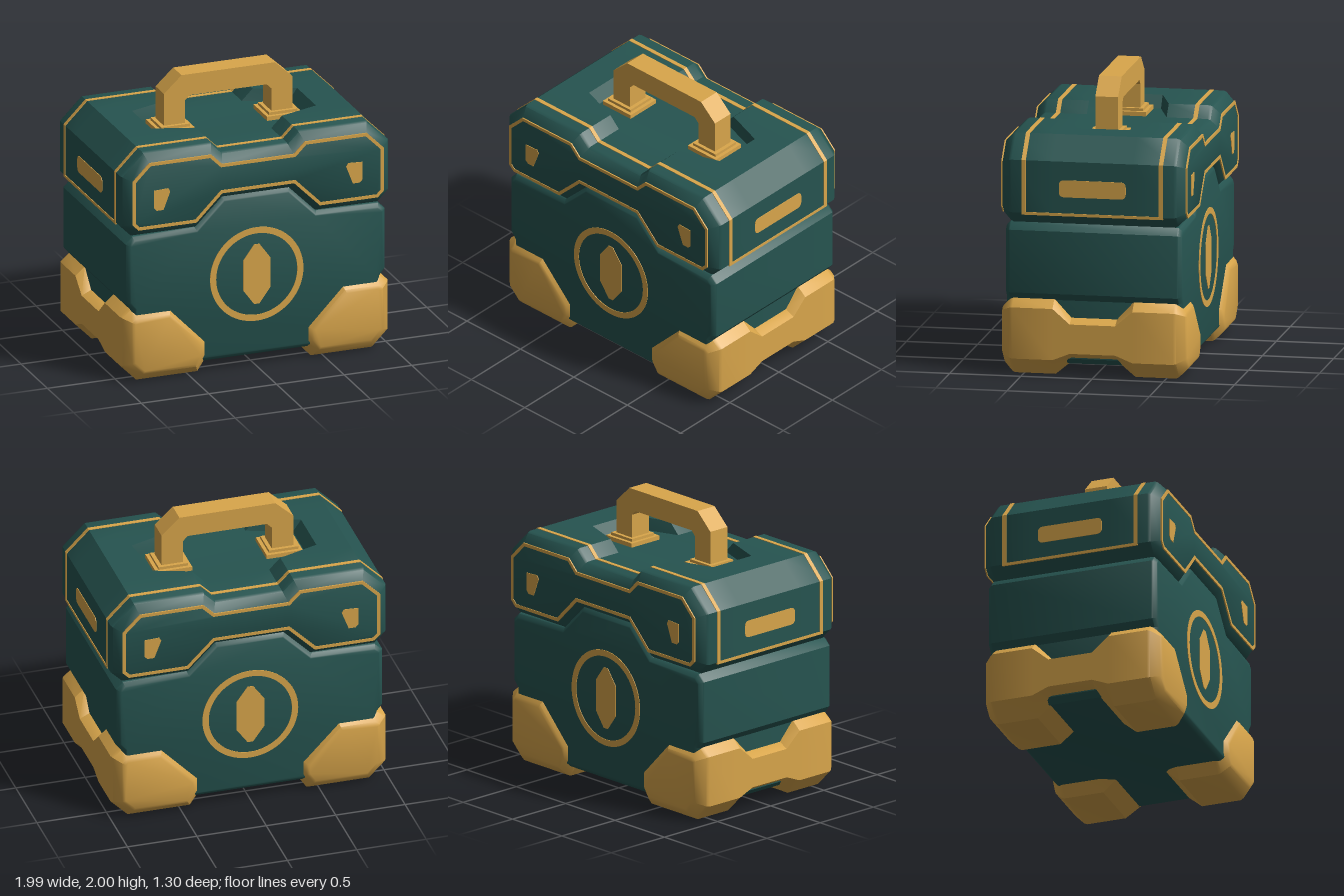
import * as THREE from 'three';
import { toCreasedNormals } from 'three/addons/utils/BufferGeometryUtils.js';

const green = new THREE.MeshStandardMaterial({ color: 0x265450 });
green.name = 'deep green';
const gold = new THREE.MeshStandardMaterial({ color: 0xd9a64b });
gold.name = 'gold';

// Right half of an outline, bottom to top, completed by its mirror image
const symmetric = (half) => [...half, ...half.map(([x, y]) => [-x, y]).reverse()];
const mirrorX = (pts) => pts.map(([x, y]) => [-x, y]).reverse();

// Moves every edge of a counter-clockwise outline inwards by d
function inset(pts, d) {
  const n = pts.length;
  return pts.map((p, i) => {
    const a = pts[(i + n - 1) % n], b = pts[(i + 1) % n];
    const l1 = Math.hypot(p[0] - a[0], p[1] - a[1]), l2 = Math.hypot(b[0] - p[0], b[1] - p[1]);
    const n1 = [-(p[1] - a[1]) / l1, (p[0] - a[0]) / l1];
    const n2 = [-(b[1] - p[1]) / l2, (b[0] - p[0]) / l2];
    const k = d / (1 + n1[0] * n2[0] + n1[1] * n2[1]);
    return [p[0] + (n1[0] + n2[0]) * k, p[1] + (n1[1] + n2[1]) * k];
  });
}

// Joins outlines [z, points] from back to front and closes both ends
function loft(sections) {
  const pos = [];
  const put = ([z, pts], i) => pos.push(...pts[i % pts.length], z);
  for (let s = 0; s < sections.length - 1; s++) {
    const a = sections[s], b = sections[s + 1];
    for (let i = 0; i < a[1].length; i++) {
      put(a, i); put(a, i + 1); put(b, i + 1);
      put(a, i); put(b, i + 1); put(b, i);
    }
  }
  const cap = (section, flip) => {
    const contour = section[1].map(([x, y]) => new THREE.Vector2(x, y));
    for (const f of THREE.ShapeUtils.triangulateShape(contour, [])) {
      (flip ? [f[2], f[1], f[0]] : f).forEach((i) => put(section, i));
    }
  };
  cap(sections[0], true);
  cap(sections[sections.length - 1], false);
  const geo = new THREE.BufferGeometry();
  geo.setAttribute('position', new THREE.Float32BufferAttribute(pos, 3));
  return toCreasedNormals(geo, 0.55);
}

// Solid with softened front and back edges; middle holds extra [z, outline] pairs
function beveledLoft(outline, depth, bevel, middle = []) {
  const steps = [[0, 1], [0.12, 0.75], [0.75, 0.12], [1, 0]];
  const front = steps.map(([dz, di]) => [depth - dz * bevel, inset(outline, di * bevel)]);
  const half = [...front, ...middle];
  return loft([...half.map(([z, p]) => [-z, p]), ...half.slice().reverse()]);
}

const shapeOf = (pts) => new THREE.Shape(pts.map(([x, y]) => new THREE.Vector2(x, y)));

// Flat plate, optionally with one hole
function plate(pts, depth, z, hole) {
  const shape = shapeOf(pts);
  if (hole) shape.holes.push(shapeOf(hole));
  return new THREE.ExtrudeGeometry(shape, { depth, bevelEnabled: false }).translate(0, 0, z);
}

const lidOutline = symmetric([
  [0.24, 1.26], [0.43, 1.07], [0.91, 1.07], [0.99, 1.15],
  [0.99, 1.52], [0.83, 1.68], [0.32, 1.68], [0.24, 1.6],
]);
const lidRecess = symmetric([
  [0.24, 1.26], [0.43, 1.07], [0.91, 1.07], [0.99, 1.15],
  [0.99, 1.52], [0.83, 1.68], [0.61, 1.68], [0.55, 1.595],
]);
const bodyOutline = symmetric([
  [0.88, 0.08], [0.92, 0.12], [0.92, 0.53], [0.96, 0.58], [0.96, 1.02],
  [0.91, 1.07], [0.45, 1.08], [0.25, 1.28],
]);
const footOutline = [
  [0.42, 0], [0.87, 0], [0.99, 0.12], [0.99, 0.48],
  [0.92, 0.54], [0.62, 0.54], [0.34, 0.25], [0.34, 0.12],
];

export function createModel() {
  const model = new THREE.Group();
  model.name = 'chest';
  const add = (name, geo, mat, parent = model) => {
    const mesh = new THREE.Mesh(geo, mat);
    mesh.name = name;
    parent.add(mesh);
    return mesh;
  };

  // Body and lid, the lid hollowed around the handle
  add('body', beveledLoft(bodyOutline, 0.62, 0.035), green);
  add('lid', beveledLoft(lidOutline, 0.648, 0.08, [[0.28, lidOutline], [0.18, lidRecess]]), green);

  // Feet: one dumbbell-shaped rail along each side
  const barOutline = footOutline.map(([x, y]) => [x, 0.1 + (y / 0.54) * 0.31]);
  for (const [name, m] of [['leftFeet', (p) => p], ['rightFeet', mirrorX]]) {
    const middle = [[0.28, m(footOutline)], [0.16, m(barOutline)]];
    add(name, beveledLoft(m(footOutline), 0.65, 0.085, middle), gold);
  }

  // Trim, eyes and emblem, the same on front and back
  const eye = [[0.7, 1.26], [0.75, 1.26], [0.77, 1.28], [0.77, 1.41], [0.665, 1.415], [0.65, 1.39]];
  const gem = symmetric([[0.02, 0.46], [0.1, 0.57], [0.1, 0.79], [0.02, 0.9]]);
  for (const [name, turn] of [['frontDetails', 0], ['backDetails', Math.PI]]) {
    const face = new THREE.Group();
    face.name = name;
    face.rotation.y = turn;
    model.add(face);
    add('lidTrim', plate(inset(lidOutline, 0.062), 0.009, 0.643, inset(lidOutline, 0.085)), gold, face);
    add('leftEye', plate(eye, 0.006, 0.646), gold, face);
    add('rightEye', plate(mirrorX(eye), 0.006, 0.646), gold, face);
    const ring = new THREE.Shape().absarc(0, 0.68, 0.345, 0, Math.PI * 2);
    ring.holes.push(new THREE.Path().absarc(0, 0.68, 0.3, 0, Math.PI * 2, true));
    add('emblemRing', new THREE.ExtrudeGeometry(ring, {
      depth: 0.006, bevelEnabled: false, curveSegments: 32,
    }).translate(0, 0, 0.618), gold, face);
    add('emblemGem', plate(gem, 0.006, 0.618), gold, face);
  }

  // Bands running up the sides and over the lid
  const band = symmetric([
    [0.8, 1.4], [0.9, 1.14], [0.994, 1.14], [0.994, 1.522],
    [0.832, 1.684], [0.318, 1.684], [0.238, 1.604],
  ]);
  for (const z of [-0.482, 0.482]) add('lidBand', plate(band, 0.03, z - 0.015), gold);

  // Side plates
  const r = 0.04, w = 0.235, h = 0.06;
  const pill = new THREE.Shape()
    .moveTo(-w + r, -h).lineTo(w - r, -h).quadraticCurveTo(w, -h, w, -h + r)
    .lineTo(w, h - r).quadraticCurveTo(w, h, w - r, h)
    .lineTo(-w + r, h).quadraticCurveTo(-w, h, -w, h - r)
    .lineTo(-w, -h + r).quadraticCurveTo(-w, -h, -w + r, -h);
  for (const side of [1, -1]) {
    const slot = add('sideSlot', new THREE.ExtrudeGeometry(pill, { depth: 0.006, bevelEnabled: false }), gold);
    slot.position.set(side * 0.988, 1.33, 0);
    slot.rotation.y = side * Math.PI / 2;
    add('sideTrim', new THREE.BoxGeometry(0.009, 0.02, 0.99), gold).position.set(side * 0.99, 1.147, 0);
  }

  // Handle with stepped mounts
  const handle = [
    [0.32, 1.59], [0.475, 1.59], [0.475, 1.88], [0.345, 2], [-0.345, 2], [-0.475, 1.88],
    [-0.475, 1.59], [-0.32, 1.59], [-0.32, 1.81], [-0.285, 1.845], [0.285, 1.845], [0.32, 1.81],
  ];
  add('handle', plate(handle, 0.16, -0.08), gold);
  for (const x of [-0.398, 0.398]) {
    add('handleMount', new THREE.BoxGeometry(0.26, 0.05, 0.26), gold).position.set(x, 1.6, 0);
    add('handleCollar', new THREE.BoxGeometry(0.21, 0.05, 0.21), gold).position.set(x, 1.62, 0);
  }
  return model;
}
